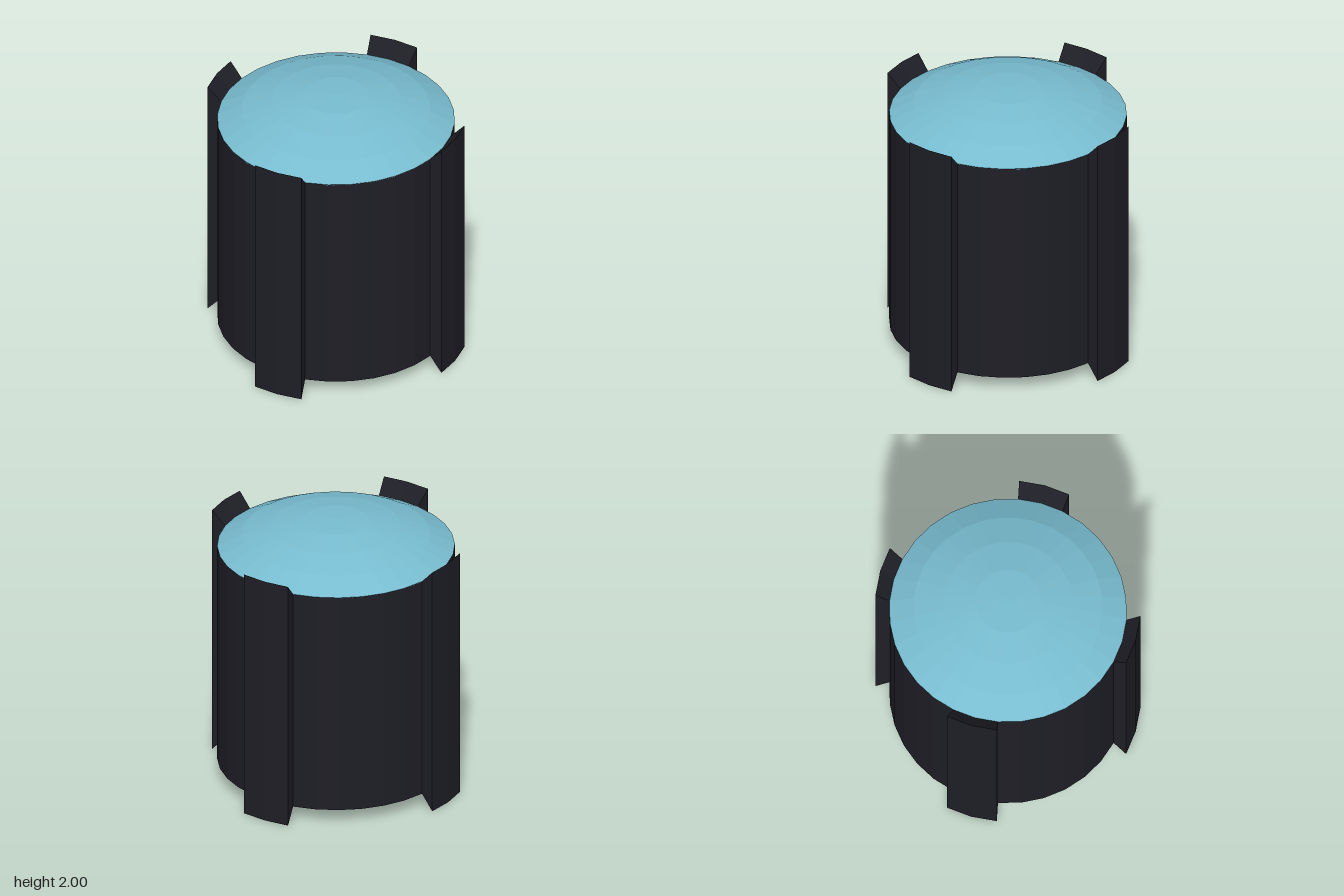
import * as THREE from 'three';

const SIDES = 32, RADIUS = 0.845, OUTER = 0.945;
const LOW = 0.105, HIGH = 1.79, TOP = 1.895;

export function createModel() {
  const model = new THREE.Group();
  model.name = 'domedDrum';
  const dark = new THREE.MeshStandardMaterial({ color: 0x1e1e26, flatShading: true, side: THREE.DoubleSide });
  const blue = new THREE.MeshStandardMaterial({ color: 0x78bcd0, flatShading: true });

  const add = (parent, name, geometry, material) => {
    const mesh = new THREE.Mesh(geometry, material);
    mesh.name = name;
    parent.add(mesh);
    return mesh;
  };
  const points = (list) => list.map(([x, y]) => new THREE.Vector2(x, y));

  // Drum body
  const body = add(model, 'body', new THREE.CylinderGeometry(RADIUS, RADIUS, HIGH - LOW, SIDES), dark);
  body.position.y = (LOW + HIGH) / 2;

  // Shallow faceted dome, from rim to apex
  const domeProfile = points([[RADIUS, HIGH - 0.005], [RADIUS, HIGH], [0.67, 1.88], [0.46, 1.945], [0.235, 1.988], [0, 2]]);
  add(model, 'dome', new THREE.LatheGeometry(domeProfile, SIDES), blue);

  // Four ribs, each two facets wide, with bevelled ends
  const ribProfile = points([[RADIUS, LOW], [OUTER, 0], [OUTER, TOP], [RADIUS, HIGH]]);
  const half = (Math.PI * 2) / SIDES;
  const ribShell = new THREE.LatheGeometry(ribProfile, 2, -half, half * 2);
  const ribSide = new THREE.ShapeGeometry(new THREE.Shape(ribProfile));
  for (let i = 0; i < 4; i++) {
    const rib = new THREE.Group();
    rib.name = 'rib' + (i + 1);
    add(rib, 'ribShell', ribShell, dark);
    for (const s of [-1, 1]) {
      add(rib, 'ribSide', ribSide, dark).rotation.y = s * half - Math.PI / 2;
    }
    rib.rotation.y = (i * Math.PI) / 2;
    model.add(rib);
  }
  return model;
}
